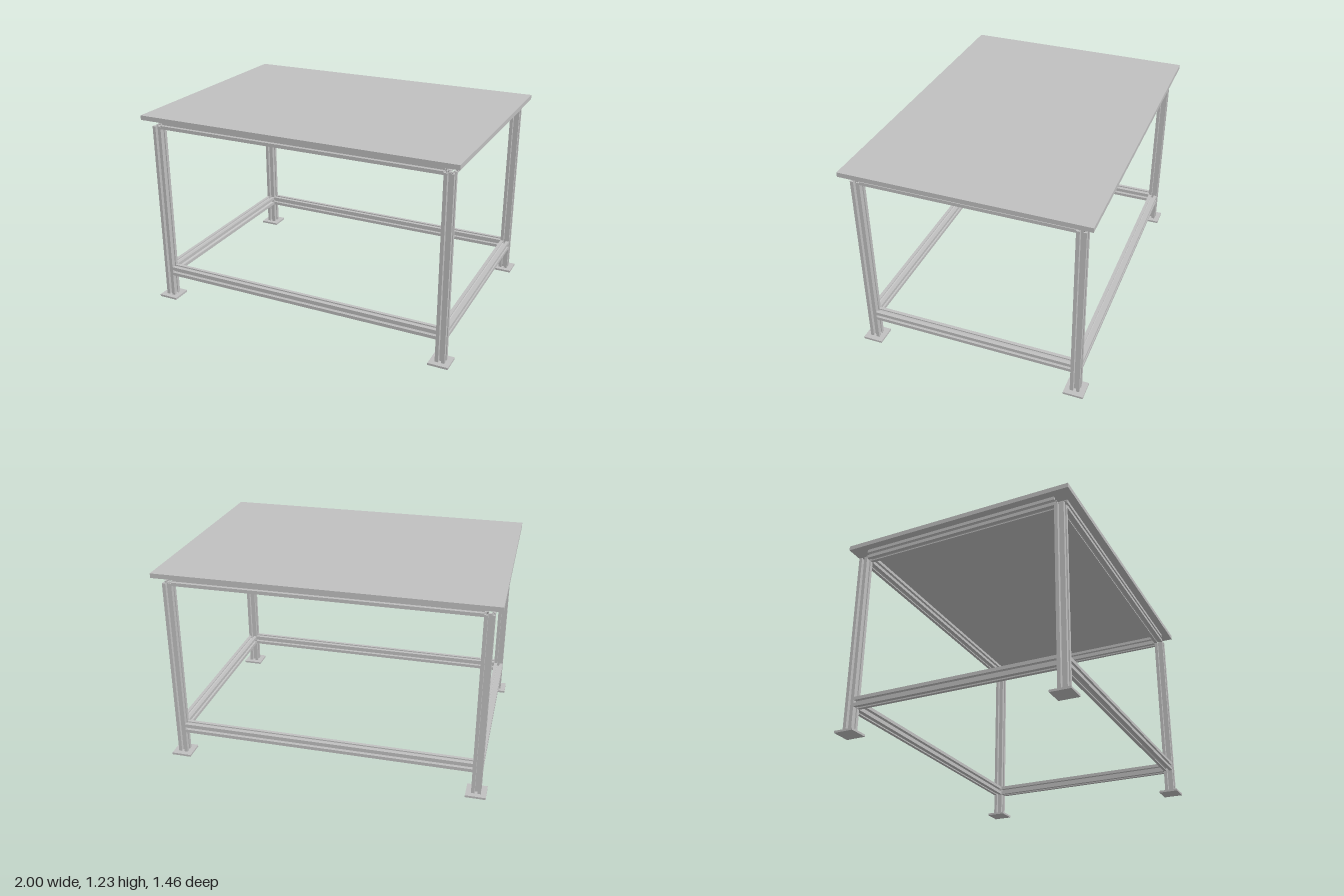
import * as THREE from 'three';

const S = 0.058;              // width of a slotted beam
const CX = 0.926, CZ = 0.654; // leg centres
const TOP = 1.204;            // underside of the table top
const FOOT = 0.013;           // thickness of a foot plate

// Square beam section with a T-shaped slot in each side
function slottedSection() {
  const h = S / 2;
  const side = [[-1, 1], [-0.3, 1], [-0.3, 0.76], [-0.62, 0.76], [-0.62, 0.64], [-0.28, 0.3],
    [0.28, 0.3], [0.62, 0.64], [0.62, 0.76], [0.3, 0.76], [0.3, 1]];
  const points = [];
  for (let k = 0; k < 4; k++) {
    const c = Math.round(Math.cos(k * Math.PI / 2)), s = Math.round(Math.sin(k * Math.PI / 2));
    // clockwise quarter turns
    for (const [x, y] of side) points.push(new THREE.Vector2((x * c + y * s) * h, (y * c - x * s) * h));
  }
  return new THREE.Shape(points);
}

// Beam of the given length, centred, lying along the named axis
function beamGeometry(length, axis) {
  const g = new THREE.ExtrudeGeometry(slottedSection(), { depth: length, bevelEnabled: false });
  g.translate(0, 0, -length / 2);
  if (axis === 'x') g.rotateY(Math.PI / 2);
  if (axis === 'y') g.rotateX(-Math.PI / 2);
  return g;
}

export function createModel() {
  const model = new THREE.Group();
  model.name = 'workTable';
  const metal = new THREE.MeshStandardMaterial({ color: 0xc0c0c0 });
  metal.name = 'lightGrey';

  const add = (name, geometry, x, y, z) => {
    const mesh = new THREE.Mesh(geometry, metal);
    mesh.name = name;
    mesh.position.set(x, y, z);
    model.add(mesh);
  };

  // Table top
  add('tableTop', new THREE.BoxGeometry(2, 0.028, 1.46), 0, TOP + 0.014, 0);

  // Legs on square foot plates
  const legTop = 1.158;
  const leg = beamGeometry(legTop - FOOT, 'y');
  const foot = new THREE.BoxGeometry(0.122, FOOT, 0.122);
  for (const sx of [-1, 1]) for (const sz of [-1, 1]) {
    const place = (sz > 0 ? 'front' : 'back') + (sx > 0 ? 'Left' : 'Right');
    add(place + 'Leg', leg, sx * CX, (legTop + FOOT) / 2, sz * CZ);
    add(place + 'Foot', foot, sx * CX, FOOT / 2, sz * CZ);
  }

  // Upper and lower rails between the legs
  const longRail = beamGeometry(2 * CX - S, 'x');
  const sideRail = beamGeometry(2 * CZ - S, 'z');
  for (const [level, y] of [['upper', TOP - S / 2], ['lower', 0.187]]) {
    for (const s of [-1, 1]) {
      add(level + (s > 0 ? 'Front' : 'Back') + 'Rail', longRail, 0, y, s * CZ);
      add(level + (s > 0 ? 'Left' : 'Right') + 'Rail', sideRail, s * CX, y, 0);
    }
  }
  return model;
}
